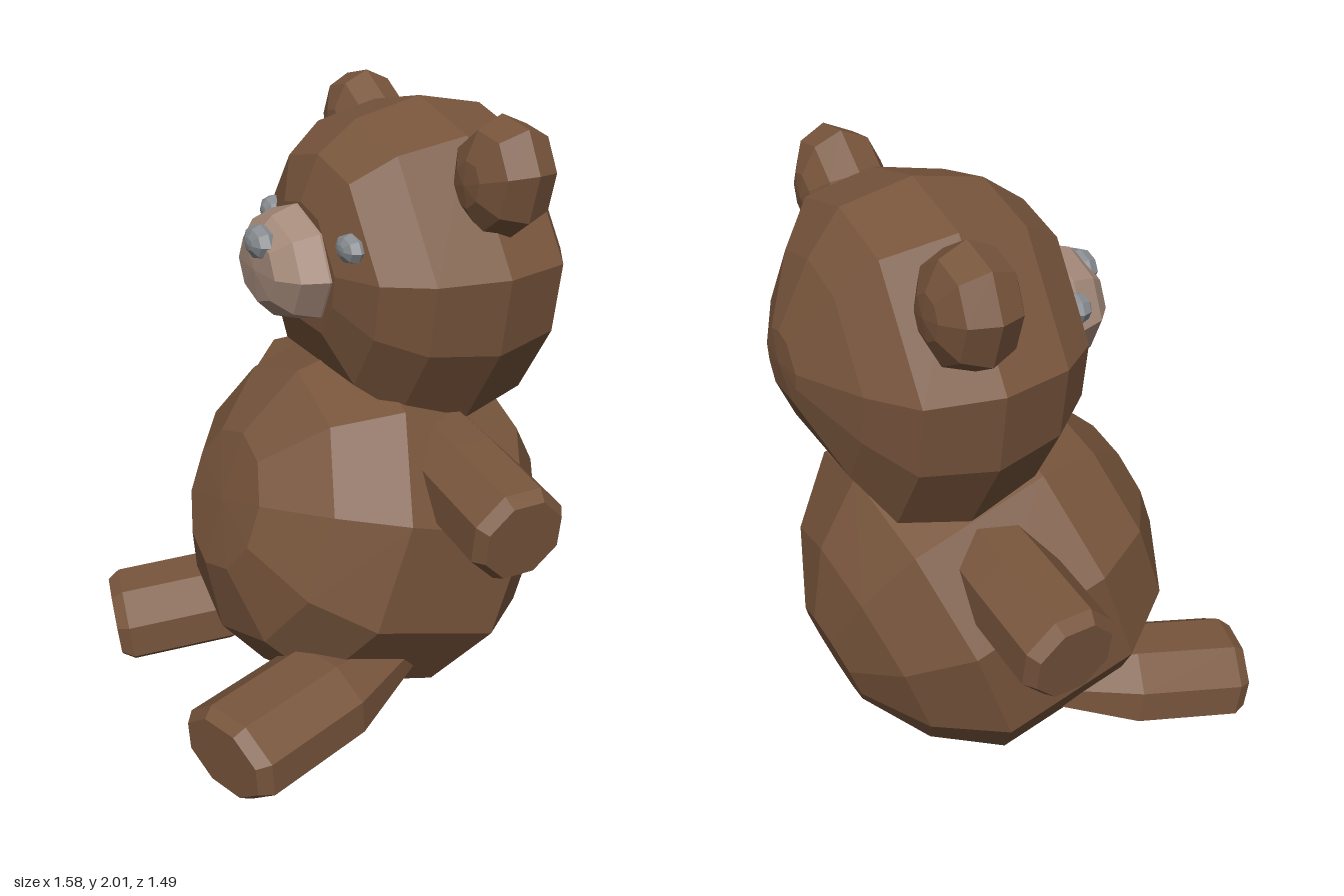
import * as THREE from 'three';

const YAW = -0.21; // the whole toy looks slightly to its right

const mat = (name, color) => {
  const m = new THREE.MeshStandardMaterial({ color, flatShading: true });
  m.name = name;
  return m;
};

// Faceted solid around the z axis; profile is [z, radius] from back to front
function solid(profile, sides = 8, start = 0) {
  const pts = profile.map(([z, r]) => new THREE.Vector2(r, z));
  return new THREE.LatheGeometry(pts, sides, start).rotateX(Math.PI / 2);
}

// Same, with a free cross-section: half is its +x side from bottom to top, mirrored to -x
function sectionSolid(profile, half) {
  const mirrored = half.slice(0, -1).reverse().map(([x, y]) => [-x, y]);
  const ring = [...half, ...mirrored];
  const geo = solid(profile, ring.length);
  const pos = geo.attributes.position;
  for (let k = 0; k < pos.count; k++) {
    const [x, y] = ring[Math.floor(k / profile.length) % ring.length];
    const s = profile[k % profile.length][1];
    pos.setXY(k, x * s, y * s);
  }
  return geo;
}

const BALL = [[-1, 0], [-0.93, 0.37], [-0.62, 0.8], [0, 1], [0.62, 0.8], [0.93, 0.37], [1, 0]];

export function createModel() {
  const bear = new THREE.Group();
  bear.name = 'teddyBear';
  const fur = mat('brown fur', 0x78553c);
  const muzzle = mat('light muzzle', 0xa58a7a);
  const grey = mat('grey buttons', 0x888c90);

  function add(name, geometry, material, pos, scale = [1, 1, 1], tilt = 0, roll = 0) {
    const m = new THREE.Mesh(geometry, material);
    m.name = name;
    m.position.set(...pos);
    m.scale.set(...scale);
    m.rotation.set(tilt, YAW, roll, 'YXZ');
    bear.add(m);
    return m;
  }

  // Body leans back, so its front facet points a little upwards
  const bodyProfile = [[-0.56, 0], [-0.56, 0.17], [-0.44, 0.39], [-0.25, 0.55], [0.2, 0.56],
    [0.4, 0.44], [0.53, 0.22], [0.54, 0]];
  add('body', solid(bodyProfile, 10), fur, [-0.03, 0.605, -0.11], [1.02, 1.03, 1], -0.33);

  // Head, widest at the cheeks, with a broad flat underside on the neck
  const headProfile = [[-0.43, 0], [-0.42, 0.2], [-0.32, 0.62], [-0.22, 0.9], [0, 1],
    [0.22, 0.9], [0.35, 0.7], [0.41, 0.4], [0.41, 0]];
  const headSection = [[0.32, -0.49], [0.49, -0.22], [0.53, 0.03], [0.27, 0.395], [0, 0.46]];
  add('head', sectionSolid(headProfile, headSection), fur, [0, 1.52, -0.31]);

  // Ears
  const ball = solid(BALL);
  add('rightEar', ball, fur, [-0.41, 1.785, -0.46], [0.175, 0.2, 0.13], 0, 0.7);
  add('leftEar', ball, fur, [0.395, 1.81, -0.27], [0.17, 0.205, 0.135], 0, -0.6);

  // Face
  const snout = [[-0.12, 0], [-0.12, 0.21], [0.06, 0.22], [0.14, 0.19], [0.195, 0.125], [0.205, 0]];
  add('muzzle', solid(snout), muzzle, [-0.095, 1.51, 0.035], [1, 0.84, 1]);
  add('nose', ball, grey, [-0.125, 1.595, 0.215], [0.075, 0.055, 0.045]);
  add('rightEye', ball, grey, [-0.335, 1.605, -0.005], [0.055, 0.047, 0.045]);
  add('leftEye', ball, grey, [0.155, 1.62, 0.1], [0.064, 0.047, 0.04]);

  // Limbs: eight-sided prisms with a bevelled end, pointing from one place to another
  function limb(name, from, to, rx, ry, rootScale) {
    const a = new THREE.Vector3(...from), b = new THREE.Vector3(...to);
    const L = a.distanceTo(b);
    const geo = solid([[0, 0], [0, rootScale], [L * 0.45, 1], [L - 0.04, 1], [L, 0.84], [L, 0]],
      8, Math.PI / 8);
    const m = add(name, geo, fur, from, [rx, ry, 1]);
    m.lookAt(b);
  }
  limb('rightArm', [-0.2, 0.885, -0.29], [-0.76, 0.79, -0.38], 0.155, 0.16, 0.95);
  limb('leftArm', [0.2, 0.93, -0.18], [0.755, 0.85, -0.045], 0.16, 0.16, 0.95);
  limb('rightLeg', [-0.28, 0.24, -0.08], [-0.605, 0.165, 0.53], 0.2, 0.15, 0.5);
  limb('leftLeg', [0.25, 0.25, -0.02], [0.3, 0.195, 0.735], 0.2, 0.15, 0.5);

  return bear;
}
